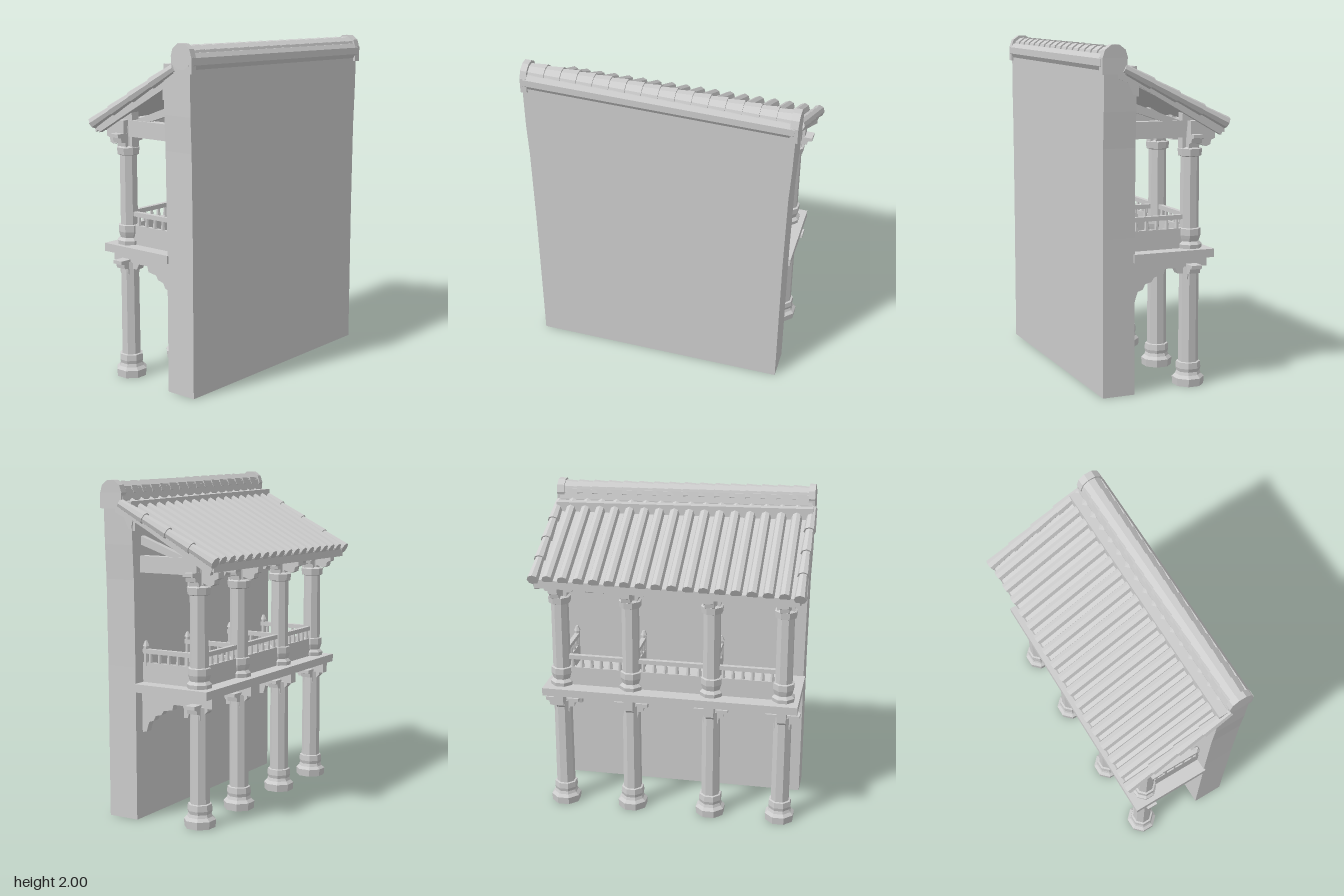
import * as THREE from 'three';

const V = (x, y, z) => new THREE.Vector3(x, y, z);

export function createModel() {
  const root = new THREE.Group();
  const stone = new THREE.MeshStandardMaterial({ color: 0xcccccc });
  const UP = V(0, 1, 0);
  const columnX = [-0.69, -0.255, 0.24, 0.675];
  const columnZ = -0.2;

  // Faceted mesh helper
  const add = (name, geo, parent = root) => {
    const g = geo.index ? geo.toNonIndexed() : geo;
    g.computeVertexNormals();
    const m = new THREE.Mesh(g, stone);
    m.name = name;
    parent.add(m);
    return m;
  };
  // Box from its limits
  const box = (name, x0, x1, y0, y1, z0, z1, parent = root) => {
    const m = add(name, new THREE.BoxGeometry(x1 - x0, y1 - y0, z1 - z0), parent);
    m.position.set((x0 + x1) / 2, (y0 + y1) / 2, (z0 + z1) / 2);
    return m;
  };
  // Tapered round bar between two points
  const rod = (name, a, b, r0, r1, sides, parent = root) => {
    const d = b.clone().sub(a);
    const m = add(name, new THREE.CylinderGeometry(r1, r0, d.length(), sides), parent);
    m.position.copy(a).add(b).multiplyScalar(0.5);
    m.quaternion.setFromUnitVectors(UP, d.normalize());
    return m;
  };
  const outline = (pts) => new THREE.Shape(pts.map((p) => new THREE.Vector2(p[0], p[1])));
  // Plate with a (z, y) outline, centred on x
  const sidePlate = (name, pts, x, w, parent = root) => {
    const g = new THREE.ExtrudeGeometry(outline(pts), { depth: w, bevelEnabled: false });
    g.rotateY(-Math.PI / 2).translate(x + w / 2, 0, 0);
    return add(name, g, parent);
  };
  // Plate with an (x, y) outline, centred on z
  const frontPlate = (name, pts, z, w, parent = root) => {
    const g = new THREE.ExtrudeGeometry(outline(pts), { depth: w, bevelEnabled: false });
    g.translate(0, 0, z - w / 2);
    return add(name, g, parent);
  };

  // Wall, slightly flared at the top
  frontPlate('wall', [[-0.775, 0], [0.762, 0], [0.762, 0.9], [0.768, 1.4], [0.778, 1.6],
    [0.785, 1.845], [-0.79, 1.88], [-0.788, 1.6], [-0.78, 1.4], [-0.775, 0.9]], 0.274, 0.192);

  // Columns of both storeys
  const column = (name, x, profile) => {
    const g = new THREE.LatheGeometry(profile.map((p) => new THREE.Vector2(p[0], p[1])), 8, Math.PI / 8);
    add(name, g).position.set(x, 0, columnZ);
  };
  // Stepped cross arm on top of a column
  const crossArm = (name, x, y, s) => frontPlate(name, [
    [x - 0.05 * s, y - 0.09], [x + 0.05 * s, y - 0.09], [x + 0.055 * s, y - 0.055],
    [x + 0.085 * s, y - 0.05], [x + 0.09 * s, y - 0.025], [x + 0.115 * s, y - 0.02],
    [x + 0.115 * s, y], [x - 0.115 * s, y], [x - 0.115 * s, y - 0.02], [x - 0.09 * s, y - 0.025],
    [x - 0.085 * s, y - 0.05], [x - 0.055 * s, y - 0.055]], columnZ, 0.065);

  for (const x of columnX) {
    column('lowerColumn', x, [[0, 0], [0.09, 0], [0.094, 0.045], [0.075, 0.062], [0.068, 0.08],
      [0.073, 0.1], [0.07, 0.135], [0.058, 0.138], [0.056, 0.7], [0, 0.7]]);
    column('upperColumn', x, [[0, 0.8], [0.07, 0.8], [0.073, 0.828], [0.055, 0.845], [0.06, 0.86],
      [0.066, 0.88], [0.066, 0.918], [0.054, 0.922], [0.053, 1.33], [0.066, 1.335],
      [0.07, 1.375], [0.05, 1.385], [0.05, 1.5], [0, 1.5]]);
    crossArm('lowerCrossArm', x, 0.715, 0.9);
    crossArm('upperCrossArm', x, 1.46, 1);

    // Floor beam and the stepped bracket under it
    box('floorBeam', x - 0.028, x + 0.028, 0.695, 0.76, -0.3, 0.18);
    sidePlate('wallBracket', [[0.185, 0.51], [0.15, 0.515], [0.14, 0.55], [0.13, 0.575], [0.1, 0.585],
      [0.085, 0.615], [0.045, 0.625], [0.03, 0.65], [-0.03, 0.66], [-0.04, 0.7], [0.185, 0.7]], x, 0.045);
    sidePlate('floorArm', [[-0.12, 0.66], [-0.25, 0.66], [-0.27, 0.68], [-0.27, 0.7], [-0.1, 0.7]], x, 0.05);

    // Tie beam, rafter strut and eave bracket
    box('tieBeam', x - 0.03, x + 0.03, 1.44, 1.535, -0.22, 0.18);
    sidePlate('strut', [[0.185, 1.6], [0.185, 1.65], [-0.14, 1.53], [-0.03, 1.53]], x, 0.04);
    sidePlate('eaveBracket', [[-0.14, 1.37], [-0.235, 1.37], [-0.245, 1.4], [-0.29, 1.385],
      [-0.315, 1.395], [-0.32, 1.42], [-0.345, 1.43], [-0.345, 1.465], [-0.14, 1.58]], x, 0.055);

    // Divider running from the column back to the wall
    box('dividerPanel', x - 0.012, x + 0.012, 0.8, 0.92, columnZ + 0.04, 0.18);
    box('dividerRail', x - 0.014, x + 0.014, 0.972, 0.998, columnZ + 0.04, 0.18);
    for (let i = 0; i < 5; i++) {
      const z = -0.12 + i * 0.063;
      rod('baluster', V(x, 0.915, z), V(x, 0.975, z), 0.014, 0.009, 6);
    }
    rod('wallPost', V(x, 0.9, 0.163), V(x, 1.02, 0.163), 0.016, 0.016, 6);
    rod('postKnob', V(x, 1.015, 0.163), V(x, 1.045, 0.163), 0.022, 0.008, 6);
  }

  // Balcony floor and its front railing
  box('balconyFloor', -0.785, 0.775, 0.757, 0.805, -0.31, 0.185);
  for (let i = 0; i < 3; i++) {
    const a = columnX[i] + 0.04, b = columnX[i + 1] - 0.04;
    box('frontPanel', a, b, 0.8, 0.92, columnZ - 0.015, columnZ + 0.015);
    box('frontRail', a, b, 0.972, 0.998, columnZ - 0.014, columnZ + 0.014);
    for (let k = 0; k < 6; k++) {
      const x = a + (b - a) * (k + 0.5) / 6;
      rod('baluster', V(x, 0.915, columnZ), V(x, 0.975, columnZ), 0.014, 0.009, 6);
    }
    // Small brackets between the columns, under the eave
    const mid = (a + b) / 2;
    sidePlate('smallEaveBracket', [[-0.18, 1.43], [-0.25, 1.425], [-0.26, 1.445], [-0.32, 1.445],
      [-0.33, 1.47], [-0.18, 1.55]], mid, 0.05);
    box('bracketBlock', mid - 0.06, mid + 0.06, 1.41, 1.45, columnZ - 0.035, columnZ + 0.035);
  }
  box('eaveBeam', -0.755, 0.745, 1.445, 1.535, columnZ - 0.03, columnZ + 0.03);
  box('wallPlate', -0.78, 0.775, 1.68, 1.75, 0.16, 0.21);

  // Roof surface: t runs from ridge to eave, with a slight twist along x
  const roofAt = (x, t, lift = 0) => {
    const u = (x + 0.8) / 1.6;
    const top = 1.855 - 0.03 * u, low = 1.505 + 0.015 * u;
    return V(x, top + (low - top) * t + lift, 0.255 + (-0.63 + 0.012 * u) * t);
  };
  const slab = new THREE.BoxGeometry(1.56, 1, 1, 4, 1, 1);
  const pos = slab.attributes.position;
  for (let i = 0; i < pos.count; i++) {
    const p = roofAt(pos.getX(i), 0.5 - pos.getZ(i), pos.getY(i) > 0 ? 0 : -0.05);
    pos.setXYZ(i, p.x, p.y, p.z);
  }
  add('roofSlab', slab);

  // Rows of cover tiles
  const tiles = new THREE.Group();
  tiles.name = 'roofTiles';
  root.add(tiles);
  for (let i = 0; i < 16; i++) {
    const x = -0.695 + i * 0.0927;
    rod('coverTile', roofAt(x, 0, 0.008), roofAt(x, 1.01, 0.008), 0.032, 0.034, 8, tiles);
  }
  // Stepped tiles along both roof edges
  for (const x of [-0.782, 0.782]) {
    for (let i = 0; i < 4; i++) {
      rod('edgeTile', roofAt(x, i * 0.25, 0.008), roofAt(x, i * 0.25 + 0.27, 0.008), 0.027, 0.036, 8, tiles);
    }
    sidePlate('bargeBoard', [[0.29, 1.84], [0.29, 1.78], [0.23, 1.755], [0.2, 1.69], [0.18, 1.69],
      [0.17, 1.74], [-0.34, 1.455], [-0.365, 1.51]], x * 0.985, 0.03);
  }

  // Ridge: base course, stepped round tiles and end caps
  const ridgeY = (x) => 1.915 - 0.033 * (x + 0.79) / 1.58;
  sidePlate('ridgeBase', [[0.372, -0.06], [0.388, -0.035], [0.388, 0.005], [0.37, 0.03],
    [0.25, 0.03], [0.235, -0.03], [0.235, -0.08], [0.372, -0.08]], 0, 1.56).rotation.z = -0.021;
  root.getObjectByName('ridgeBase').position.y = ridgeY(0);
  const ridge = new THREE.Group();
  ridge.name = 'ridgeTiles';
  root.add(ridge);
  const count = 16, step = 1.52 / count;
  for (let i = 0; i < count; i++) {
    const a = -0.76 + i * step, b = a + step + 0.006;
    rod('ridgeTile', V(a, ridgeY(a) + 0.008, 0.308), V(b, ridgeY(b) + 0.008, 0.308), 0.058, 0.067, 10, ridge);
  }
  for (const [a, b] of [[-0.795, -0.757], [0.752, 0.797]]) {
    rod('ridgeEnd', V(a, ridgeY(a) + 0.01, 0.31), V(b, ridgeY(b) + 0.01, 0.31), 0.074, 0.074, 10, ridge);
    box('ridgeEndBlock', a, b, ridgeY(a) - 0.08, ridgeY(a) + 0.01, 0.24, 0.386, ridge);
  }

  return root;
}
